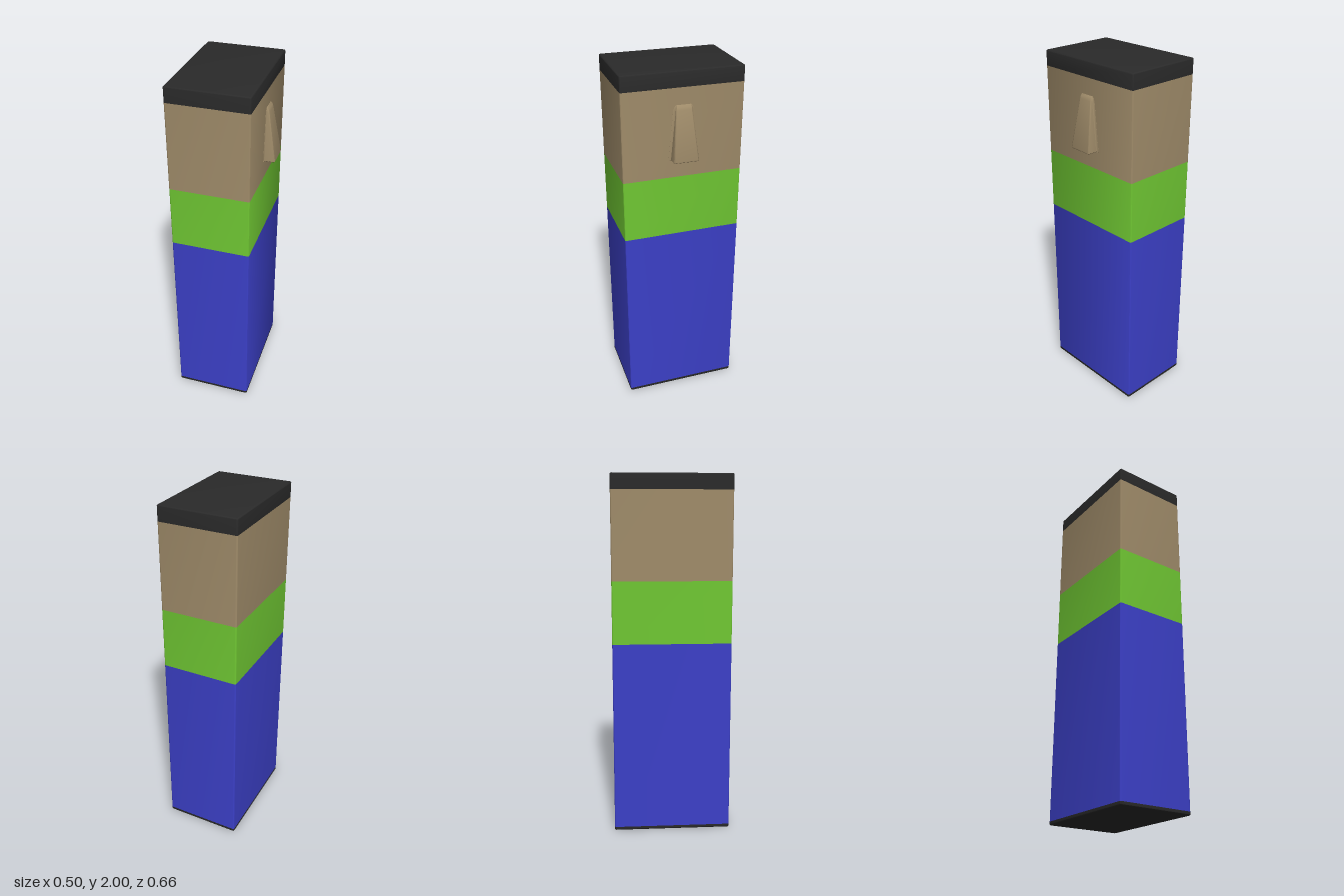
import * as THREE from 'three';
import { toCreasedNormals } from 'three/addons/utils/BufferGeometryUtils.js';

const X0 = -0.25, X1 = 0.19, HZ = 0.33, R = 0.008;

// Skin a stack of matching closed rings (lowest first) and cap both ends
function loft(rings) {
  const n = rings[0].length, pos = [], idx = [];
  rings.forEach(ring => ring.forEach(p => pos.push(...p)));
  for (let k = 0; k < rings.length - 1; k++) {
    for (let i = 0; i < n; i++) {
      const a = k * n + i, b = k * n + (i + 1) % n;
      idx.push(a, a + n, b, b, a + n, b + n);
    }
  }
  const cap = (k, top) => {
    const c = pos.length / 3;
    const mid = [0, 1, 2].map(j => rings[k].reduce((s, p) => s + p[j], 0) / n);
    pos.push(...mid);
    for (let i = 0; i < n; i++) {
      const a = k * n + i, b = k * n + (i + 1) % n;
      idx.push(c, top ? b : a, top ? a : b);
    }
  };
  cap(0, false);
  cap(rings.length - 1, true);
  const g = new THREE.BufferGeometry();
  g.setAttribute('position', new THREE.Float32BufferAttribute(pos, 3));
  g.setIndex(idx);
  return toCreasedNormals(g, 0.6);
}

// Rounded rectangle of the box at height y, shrunk by inset
function boxRing(y, inset = 0) {
  const ring = [], steps = 4, cx = (X0 + X1) / 2, hx = (X1 - X0) / 2;
  for (let c = 0; c < 4; c++) {
    const sx = c === 0 || c === 3 ? 1 : -1, sz = c < 2 ? 1 : -1;
    for (let s = 0; s <= steps; s++) {
      const t = (c + s / steps) * Math.PI / 2, r = R - inset * 0.8;
      ring.push([
        cx + sx * (hx - inset - r) + r * Math.cos(t), y,
        sz * (HZ - inset - r) + r * Math.sin(t),
      ]);
    }
  }
  return ring;
}

// Section of the spout: flared at the wall, rounded at the outer corners
function spoutRing(y, depth, half) {
  const r = Math.min(0.008, depth * 0.4), f = Math.min(0.012, depth * 0.8);
  const side = [
    [X1 - 0.005, half + f],
    [X1 + f * 0.05, half + f],
    [X1 + f * 0.2, half + f * 0.3],
    [X1 + f * 0.5, half],
  ];
  for (let s = 0; s <= 4; s++) {
    const t = (1 - s / 4) * Math.PI / 2;
    side.push([X1 + depth - r + r * Math.cos(t), half - r + r * Math.sin(t)]);
  }
  // Run from -z round the outer face to +z
  const plus = side.slice().reverse().map(([x, z]) => [x, y, z]);
  const minus = side.map(([x, z]) => [x, y, -z]);
  return [...minus, ...plus];
}

export function createModel() {
  const group = new THREE.Group();
  const add = (name, color, rings) => {
    const mesh = new THREE.Mesh(loft(rings), new THREE.MeshStandardMaterial({ color }));
    mesh.name = name;
    group.add(mesh);
    return mesh;
  };

  // Eased edges on the base underside and the lid top
  const ease = [0, 1, 2, 3, 4].map(i => i / 4 * Math.PI / 2);
  const baseEdge = ease.map(t => boxRing(R * (1 - Math.sin(t)), R * (1 - Math.cos(t))).slice()).reverse();
  const lidEdge = ease.map(t => boxRing(2 - R + R * Math.sin(t), R * (1 - Math.cos(t))));
  add('base', 0x2a2a2a, [
    ...baseEdge.map((_, i) => boxRing(R * (1 - Math.cos(ease[i])), R * (1 - Math.sin(ease[i])))),
    boxRing(0.02),
  ]);
  add('lid', 0x2a2a2a, [boxRing(1.915), ...lidEdge]);

  // Coloured bands of the body
  const bands = [
    ['lowerBand', 0x3c40c8, 0.02, 1.085],
    ['middleBand', 0x70c833, 1.085, 1.43],
    ['upperBand', 0xa08c6a, 1.43, 1.915],
  ];
  for (const [name, color, y0, y1] of bands) add(name, color, [boxRing(y0), boxRing(y1)]);

  // Tapered spout on the side wall
  add('spout', 0xa08c6a, [
    spoutRing(1.53, 0.056, 0.066),
    spoutRing(1.533, 0.059, 0.069),
    spoutRing(1.538, 0.06, 0.069),
    spoutRing(1.8, 0.015, 0.044),
    spoutRing(1.815, 0.01, 0.042),
    spoutRing(1.825, 0.001, 0.04),
  ]);
  return group;
}
